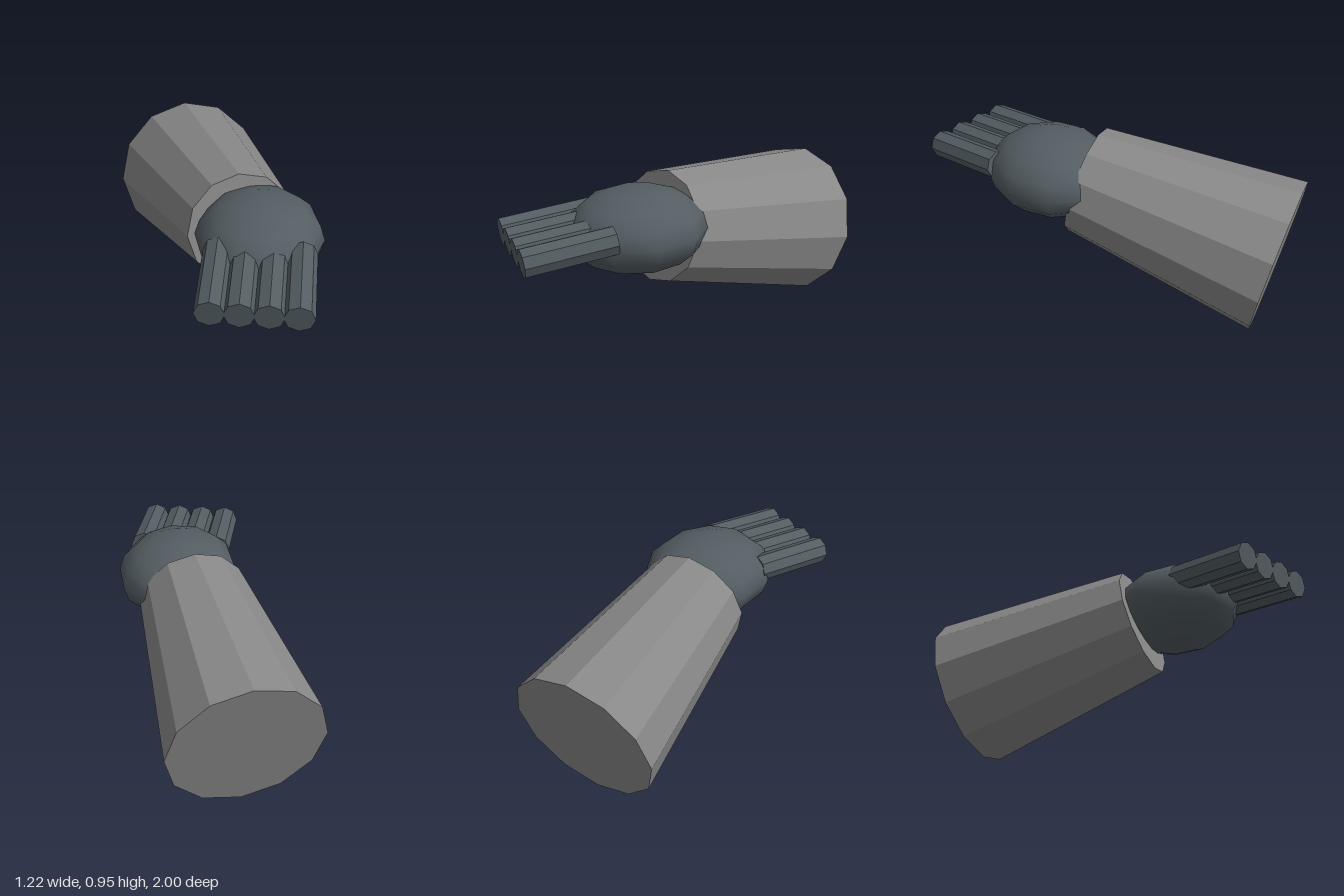
import * as THREE from 'three';

const sleeveGrey = new THREE.MeshStandardMaterial({ color: 0x888888 });
sleeveGrey.name = 'sleeveGrey';
const handSlate = new THREE.MeshStandardMaterial({ color: 0x535d62 });
handSlate.name = 'handSlate';

// Faceted tapered cylinder between two points, its facets kept flat
function taperedRod(name, from, to, rFrom, rTo, sides, material) {
  const length = from.distanceTo(to);
  let geometry = new THREE.CylinderGeometry(rTo, rFrom, length, sides);
  geometry.rotateX(Math.PI / 2);
  geometry = geometry.toNonIndexed();
  geometry.computeVertexNormals();
  const mesh = new THREE.Mesh(geometry, material);
  mesh.name = name;
  mesh.position.copy(from).lerp(to, 0.5);
  mesh.lookAt(to);
  return mesh;
}

export function createModel() {
  const model = new THREE.Group();
  model.name = 'arm';

  // Forearm, narrowing towards the wrist
  model.add(taperedRod('forearm',
    new THREE.Vector3(-0.22, 0.413, -0.822), new THREE.Vector3(0.175, 0.66, 0.175),
    0.42, 0.298, 12, sleeveGrey));

  // Palm, a smooth flattened ball
  const palm = new THREE.Mesh(new THREE.SphereGeometry(1, 10, 8), handSlate);
  palm.name = 'palm';
  palm.scale.set(0.335, 0.217, 0.38);
  palm.position.set(0.275, 0.712, 0.33);
  model.add(palm);

  // Four straight fingers side by side, dipping slightly forwards
  const fingers = new THREE.Group();
  fingers.name = 'fingers';
  for (let i = 0; i < 4; i++) {
    const x = 0.08 + i * 0.14;
    fingers.add(taperedRod('finger' + (i + 1),
      new THREE.Vector3(x, 0.76, 0.525), new THREE.Vector3(x, 0.714, 0.993),
      0.075, 0.075, 8, handSlate));
  }
  model.add(fingers);

  return model;
}
